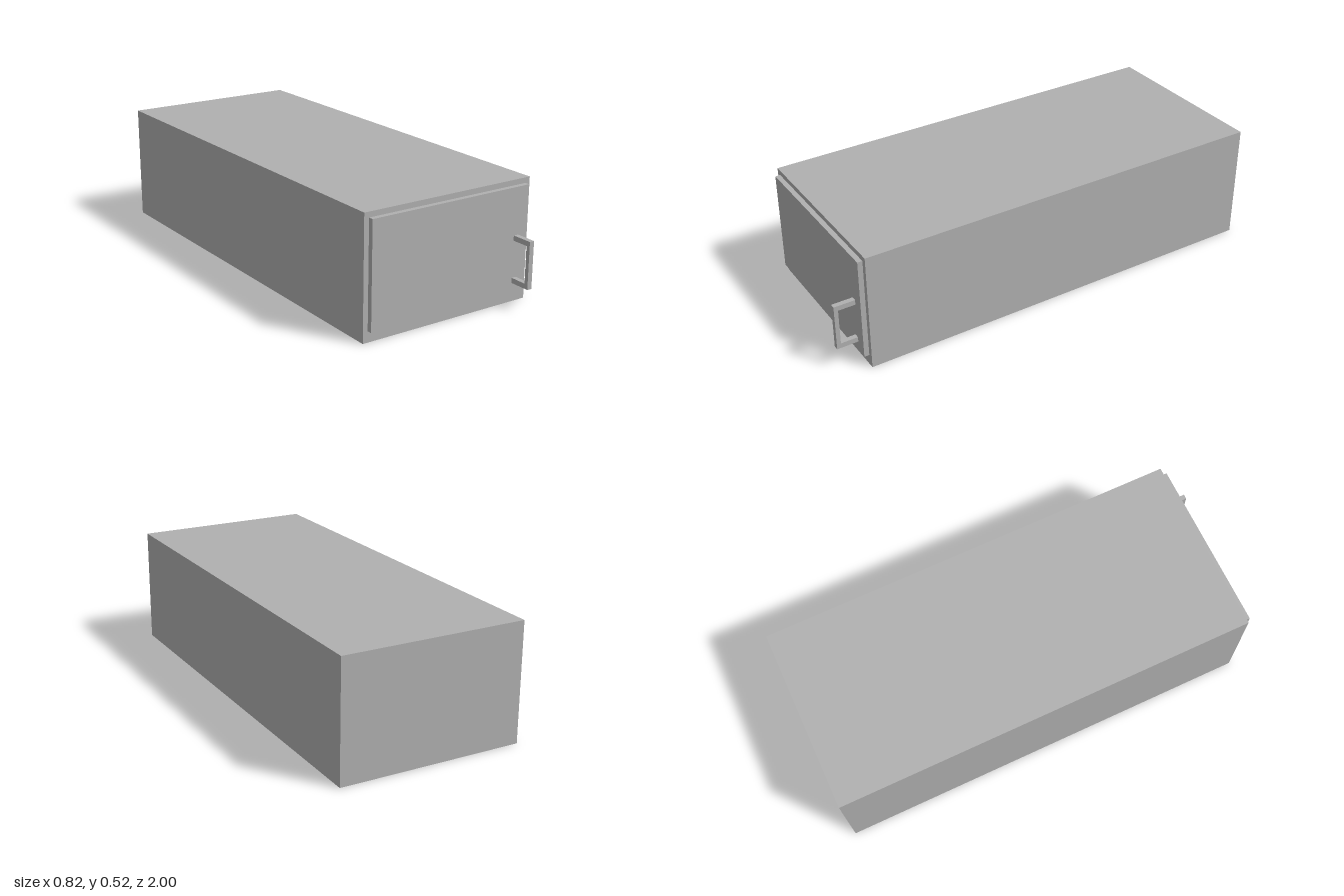
import * as THREE from 'three';

export function createModel() {
  const group = new THREE.Group();
  group.name = 'wallCabinet';
  const grey = new THREE.MeshStandardMaterial({ color: 0xb0b0b0 });
  grey.name = 'grey';

  // Box given by its lower and upper corners
  function addBox(parent, name, [x0, y0, z0], [x1, y1, z1]) {
    const mesh = new THREE.Mesh(new THREE.BoxGeometry(x1 - x0, y1 - y0, z1 - z0), grey);
    mesh.position.set((x0 + x1) / 2, (y0 + y1) / 2, (z0 + z1) / 2);
    mesh.name = name;
    parent.add(mesh);
  }

  // Carcass and the slightly smaller door on its front
  addBox(group, 'carcass', [-0.408, 0, -1], [0.408, 0.523, 0.885]);
  addBox(group, 'door', [-0.386, 0.047, 0.885], [0.386, 0.5, 0.907]);

  // Square bar handle on two posts
  const handle = new THREE.Group();
  handle.name = 'handle';
  const left = 0.317, right = 0.339, bottom = 0.093, top = 0.297, bar = 0.022;
  addBox(handle, 'handleGrip', [left, bottom, 0.982], [right, top, 1]);
  for (const [name, y] of [['lowerPost', bottom], ['upperPost', top - bar]]) {
    addBox(handle, name, [left, y, 0.907], [right, y + bar, 0.982]);
  }
  group.add(handle);

  return group;
}
